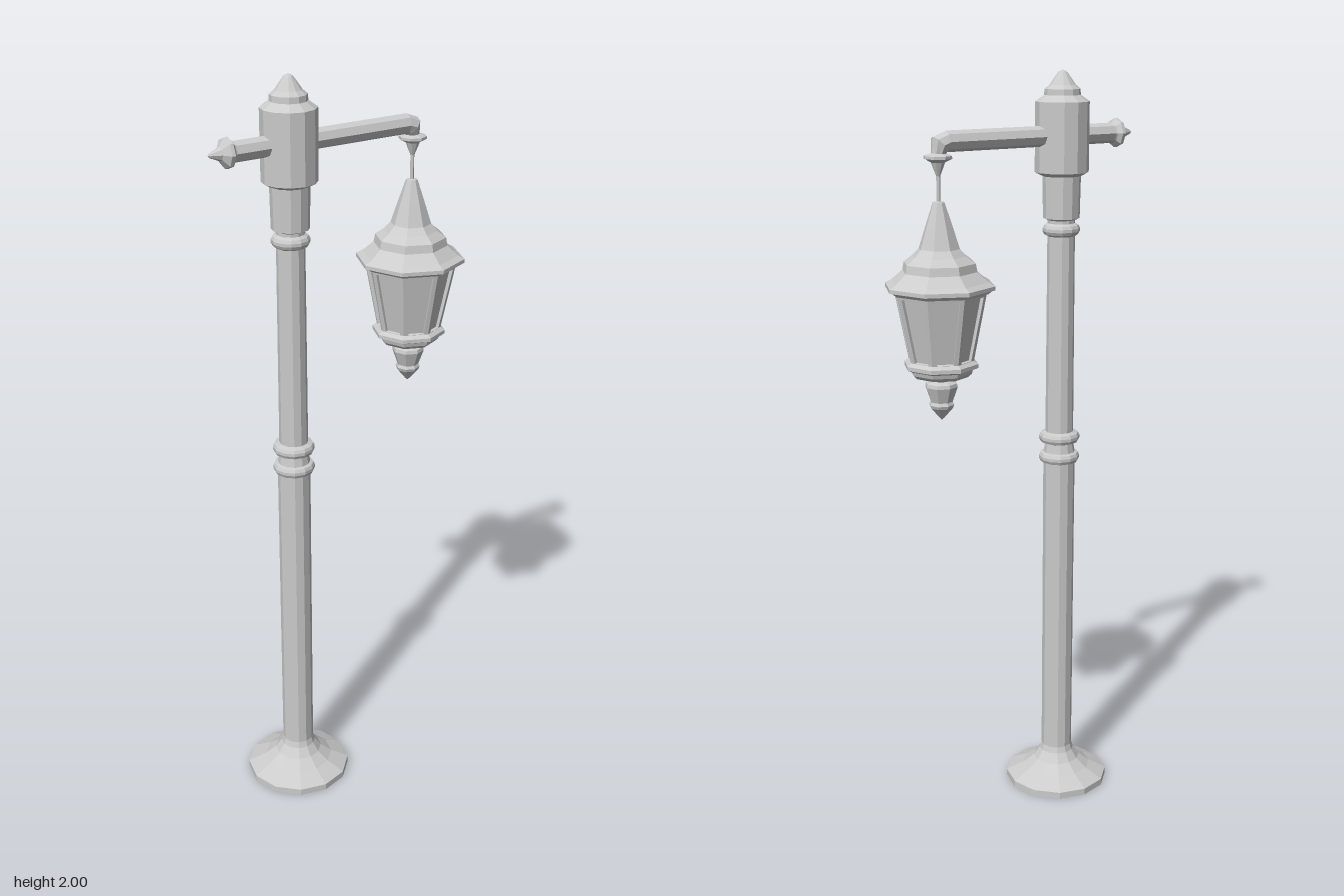
import * as THREE from 'three';

const material = new THREE.MeshStandardMaterial({ color: 0xcccccc, flatShading: true });
const POST_X = -0.146, LAMP_X = 0.222, ARM_Y = 1.837;

// Turned part from [radius, height] pairs, listed bottom to top
function turned(name, sides, profile) {
  const points = profile.map(([r, y]) => new THREE.Vector2(r, y));
  const mesh = new THREE.Mesh(new THREE.LatheGeometry(points, sides), material);
  mesh.name = name;
  return mesh;
}

function makePost() {
  const post = new THREE.Group();
  post.name = 'post';
  post.position.x = POST_X;
  post.add(
    turned('base', 12, [[0, 0], [0.144, 0], [0.144, 0.018], [0.095, 0.042], [0.065, 0.065], [0.048, 0.09], [0.043, 0.107]]),
    turned('lowerShaft', 12, [[0.043, 0.1], [0.043, 0.99], [0.038, 1.02]]),
    turned('upperShaft', 12, [[0.038, 0.99], [0.036, 1.64]]),
    turned('collar', 12, [[0.036, 1.622], [0.048, 1.627], [0.05, 1.735], [0.066, 1.742]]),
    turned('head', 12, [[0.05, 1.735], [0.07, 1.745], [0.07, 1.922], [0.047, 1.938], [0.046, 1.953],
      [0.034, 1.963], [0.022, 1.98], [0.011, 1.995], [0, 2]])
  );
  // Raised bands around the shaft
  for (const [y, r] of [[0.978, 0.055], [1.034, 0.055], [1.597, 0.049]]) {
    post.add(turned('shaftRing', 12, [[0.036, y - 0.017], [r - 0.004, y - 0.012], [r, y - 0.004],
      [r, y + 0.004], [r - 0.004, y + 0.012], [0.036, y + 0.017]]));
  }
  return post;
}

function makeArm() {
  const arm = new THREE.Group();
  arm.name = 'arm';
  // Bar with a pointed finial at its free end
  const bar = turned('armBar', 8, [[0, -0.368], [0.006, -0.362], [0.017, -0.336], [0.037, -0.323], [0.038, -0.314],
    [0.027, -0.305], [0.026, -0.3], [0.026, 0.2]]);
  bar.rotation.z = -Math.PI / 2;
  bar.position.y = ARM_Y;
  arm.add(bar);

  // Elbow: each ring is moved and tilted downwards along the bend
  const rings = [[0.198, ARM_Y, 0], [0.217, 1.83, 0.75], [0.223, 1.802, 1.5]];
  const elbow = turned('armElbow', 8, [[0.026, 0], [0.027, 1], [0.016, 2]]);
  const p = elbow.geometry.attributes.position;
  for (let i = 0; i < p.count; i++) {
    const [x, y, tilt] = rings[Math.round(p.getY(i))];
    const a = p.getX(i);
    p.setXYZ(i, x - a * Math.sin(tilt), y - a * Math.cos(tilt), p.getZ(i));
  }
  elbow.geometry.computeVertexNormals();
  arm.add(elbow);
  return arm;
}

// One window frame, its bottom edge on the local origin
function frameGeometry(bottomHalf, topHalf, height) {
  const trapezoid = (Path, inset) => new Path([
    [-bottomHalf + inset, inset], [bottomHalf - inset, inset],
    [topHalf - inset, height - inset], [-topHalf + inset, height - inset]
  ].map(([x, y]) => new THREE.Vector2(x, y)));
  const shape = trapezoid(THREE.Shape, 0);
  shape.holes.push(trapezoid(THREE.Path, 0.011));
  const geometry = new THREE.ExtrudeGeometry(shape, { depth: 0.012, bevelEnabled: false });
  return geometry.translate(0, 0, -0.012);
}

function makeLantern() {
  const lantern = new THREE.Group();
  lantern.name = 'lantern';
  lantern.position.x = LAMP_X;
  lantern.add(
    turned('hangerCap', 8, [[0.005, 1.755], [0.012, 1.772], [0.018, 1.788], [0.036, 1.797], [0.036, 1.804], [0.017, 1.81], [0, 1.81]]),
    turned('hangerRod', 6, [[0.005, 1.68], [0.005, 1.765]]),
    turned('roof', 8, [[0, 1.468], [0.125, 1.468], [0.134, 1.476], [0.143, 1.478], [0.143, 1.488], [0.126, 1.497],
      [0.097, 1.522], [0.093, 1.543], [0.07, 1.56], [0.053, 1.578], [0.036, 1.63], [0.015, 1.692], [0, 1.695]]),
    turned('glass', 8, [[0.074, 1.28], [0.111, 1.475]]),
    turned('lanternFloor', 8, [[0, 1.253], [0.07, 1.253], [0.08, 1.262], [0.083, 1.272], [0.097, 1.278],
      [0.097, 1.288], [0.086, 1.296], [0, 1.296]]),
    turned('bottomFinial', 8, [[0, 1.137], [0.007, 1.143], [0.03, 1.17], [0.033, 1.178], [0.029, 1.186], [0.043, 1.226],
      [0.041, 1.235], [0.024, 1.241], [0.036, 1.247], [0.036, 1.256]])
  );

  // Eight framed windows leaning outwards
  const low = 1.286, high = 1.472, rLow = 0.084, rHigh = 0.121;
  const apothem = Math.cos(Math.PI / 8), half = Math.sin(Math.PI / 8);
  const lean = Math.atan2((rHigh - rLow) * apothem, high - low);
  const geometry = frameGeometry(rLow * half, rHigh * half, (high - low) / Math.cos(lean));
  for (let i = 0; i < 8; i++) {
    const side = new THREE.Group();
    side.name = 'windowSide';
    side.rotation.y = (i + 0.5) * Math.PI / 4;
    const frame = new THREE.Mesh(geometry, material);
    frame.name = 'windowFrame';
    frame.position.set(0, low, rLow * apothem);
    frame.rotation.x = lean;
    side.add(frame);
    lantern.add(side);
  }
  return lantern;
}

export function createModel() {
  const model = new THREE.Group();
  model.name = 'streetLamp';
  model.add(makePost(), makeArm(), makeLantern());
  return model;
}
